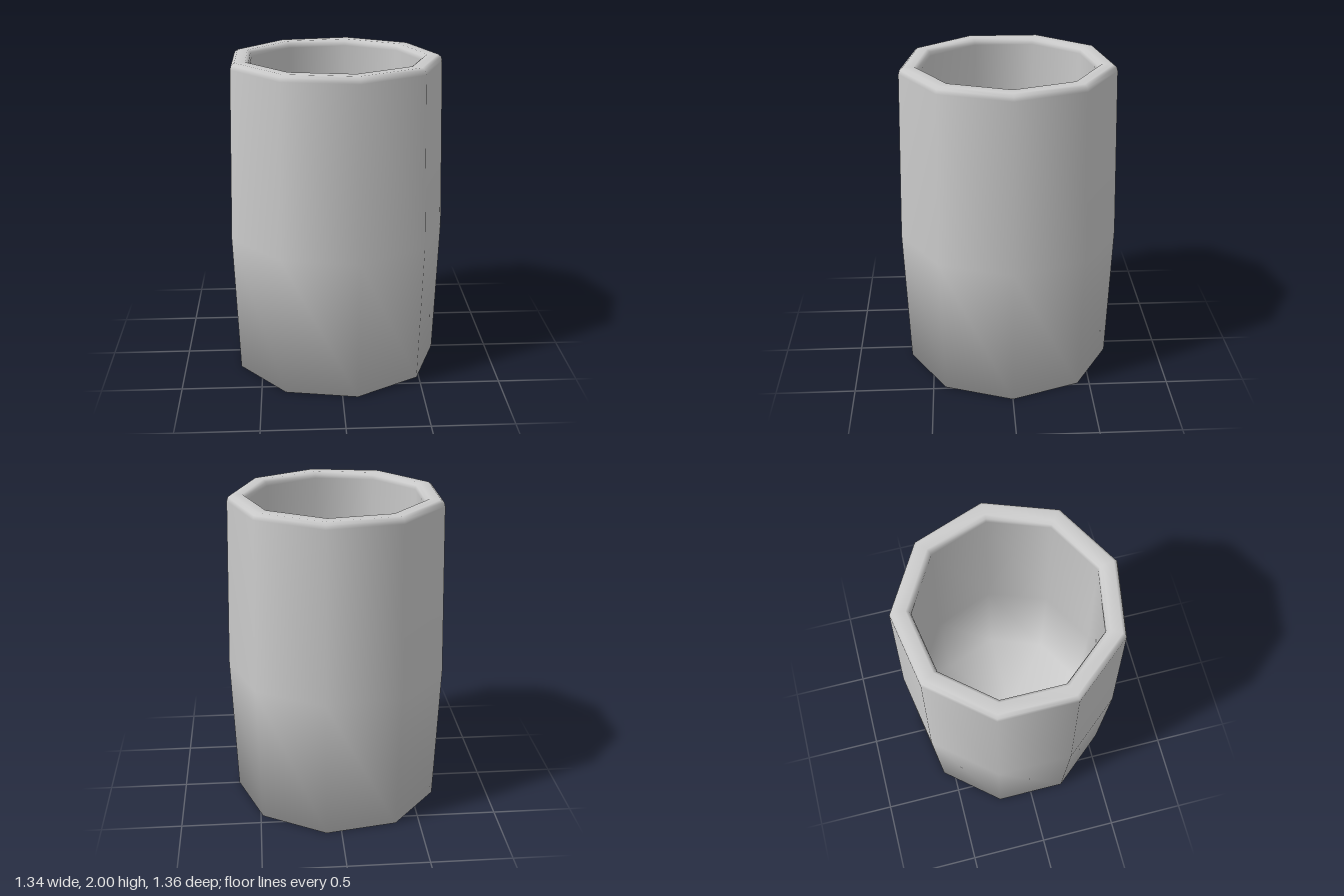
import * as THREE from 'three';

export function createModel() {
  const group = new THREE.Group();
  group.name = 'cup';
  const clay = new THREE.MeshStandardMaterial({ color: 0xcccccc });
  clay.name = 'plain grey';

  // Radius and height, from under the base, over the rim, down to the inner floor
  const profile = [
    [0, 0], [0.66, 0], [0.693, 0.9], [0.664, 1.96], [0.657, 1.985], [0.637, 2],
    [0.57, 2], [0.55, 1.985], [0.543, 1.96], [0.572, 0.9], [0.54, 0.12], [0, 0.12],
  ].map(([r, y]) => new THREE.Vector2(r, y));

  // Nine-sided smooth-shaded body with one corner pointing to +x
  const body = new THREE.Mesh(new THREE.LatheGeometry(profile, 9, Math.PI / 2), clay);
  body.name = 'cupBody';
  body.position.x = -0.02;
  group.add(body);
  return group;
}
